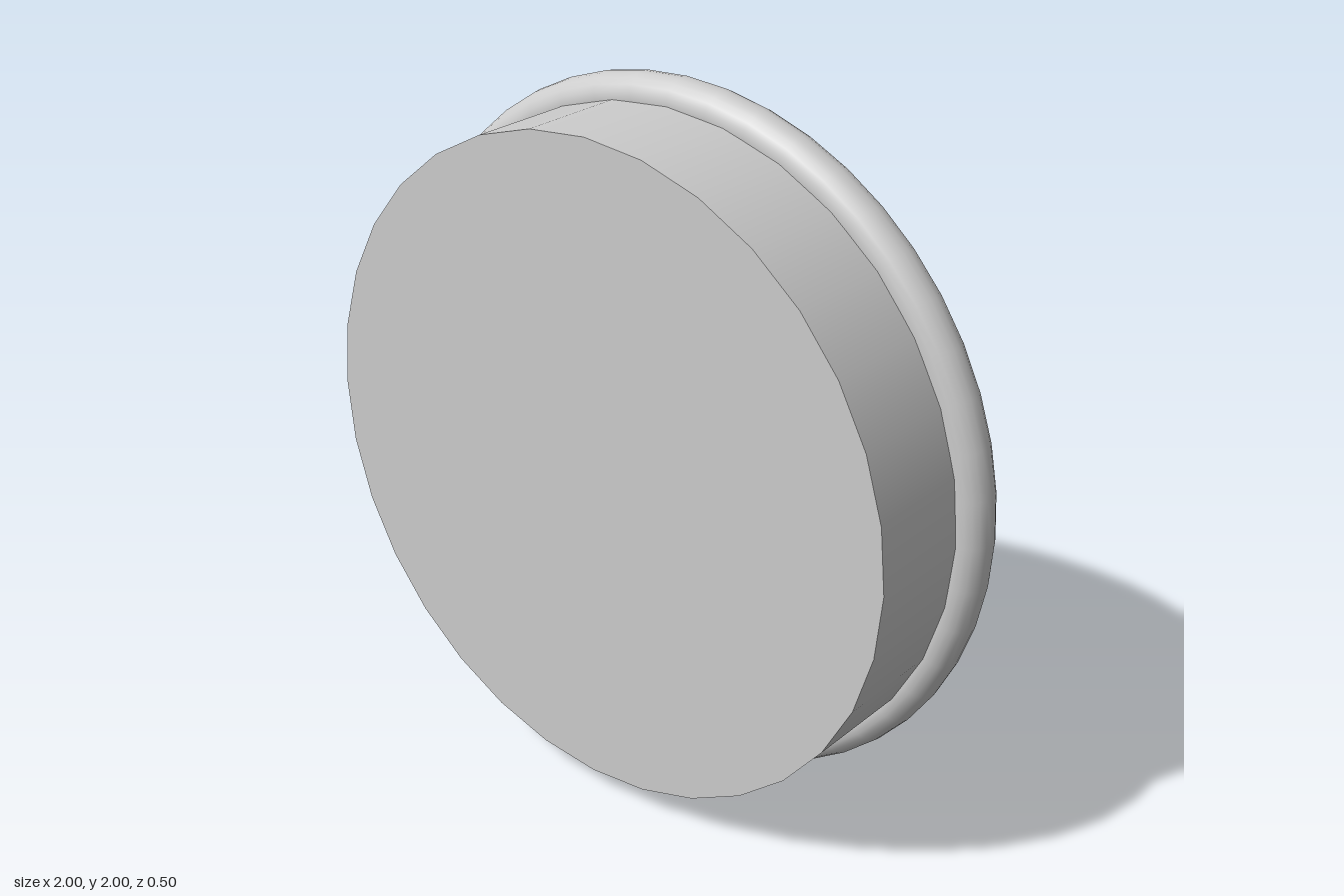
import * as THREE from 'three';
import { RoundedBoxGeometry } from 'three/addons/geometries/RoundedBoxGeometry.js';

const grey = new THREE.MeshStandardMaterial({ color: 0xcccccc });
grey.name = 'lightGrey';

export function createModel() {
  const clock = new THREE.Group();
  clock.name = 'wallClock';
  const centre = new THREE.Group();
  centre.name = 'clockParts';
  centre.position.y = 1;
  clock.add(centre);

  const add = (name, geometry) => {
    const mesh = new THREE.Mesh(geometry, grey);
    mesh.name = name;
    centre.add(mesh);
    return mesh;
  };

  // Disc along z between two depths
  const disc = (name, radius, zMin, zMax, sides) =>
    add(name, new THREE.CylinderGeometry(radius, radius, zMax - zMin, sides)
      .rotateX(Math.PI / 2).translate(0, 0, (zMin + zMax) / 2));

  // Softened bar running outwards from the centre; the dial faces -z,
  // so clockwise hours lean towards +x beyond... mirrored: hour 3 is at -x
  const bar = (name, hour, start, length, width, zMin, zMax) => {
    const depth = zMax - zMin;
    const geometry = new RoundedBoxGeometry(width, length, depth, 2, 0.013);
    geometry.translate(0, start + length / 2, (zMin + zMax) / 2);
    add(name, geometry).rotation.z = hour * Math.PI / 6;
  };

  // Case, rim and dial
  disc('case', 0.935, -0.125, 0.25, 32);
  const rim = add('rim', new THREE.TorusGeometry(0.9375, 0.0625, 20, 48));
  rim.position.z = -0.125;
  disc('dial', 0.865, -0.134, -0.12, 32);

  // Twelve hour markers
  for (let hour = 0; hour < 12; hour++) {
    bar('hourMarker', hour, 0.675, 0.15, 0.05, -0.185, -0.13);
  }

  // Hub and hands
  disc('hub', 0.0625, -0.19, -0.13, 24);
  bar('hourHand', 10, 0, 0.5, 0.06, -0.2, -0.15);
  bar('minuteHand', 7, 0, 0.73, 0.05, -0.25, -0.2);

  return clock;
}
